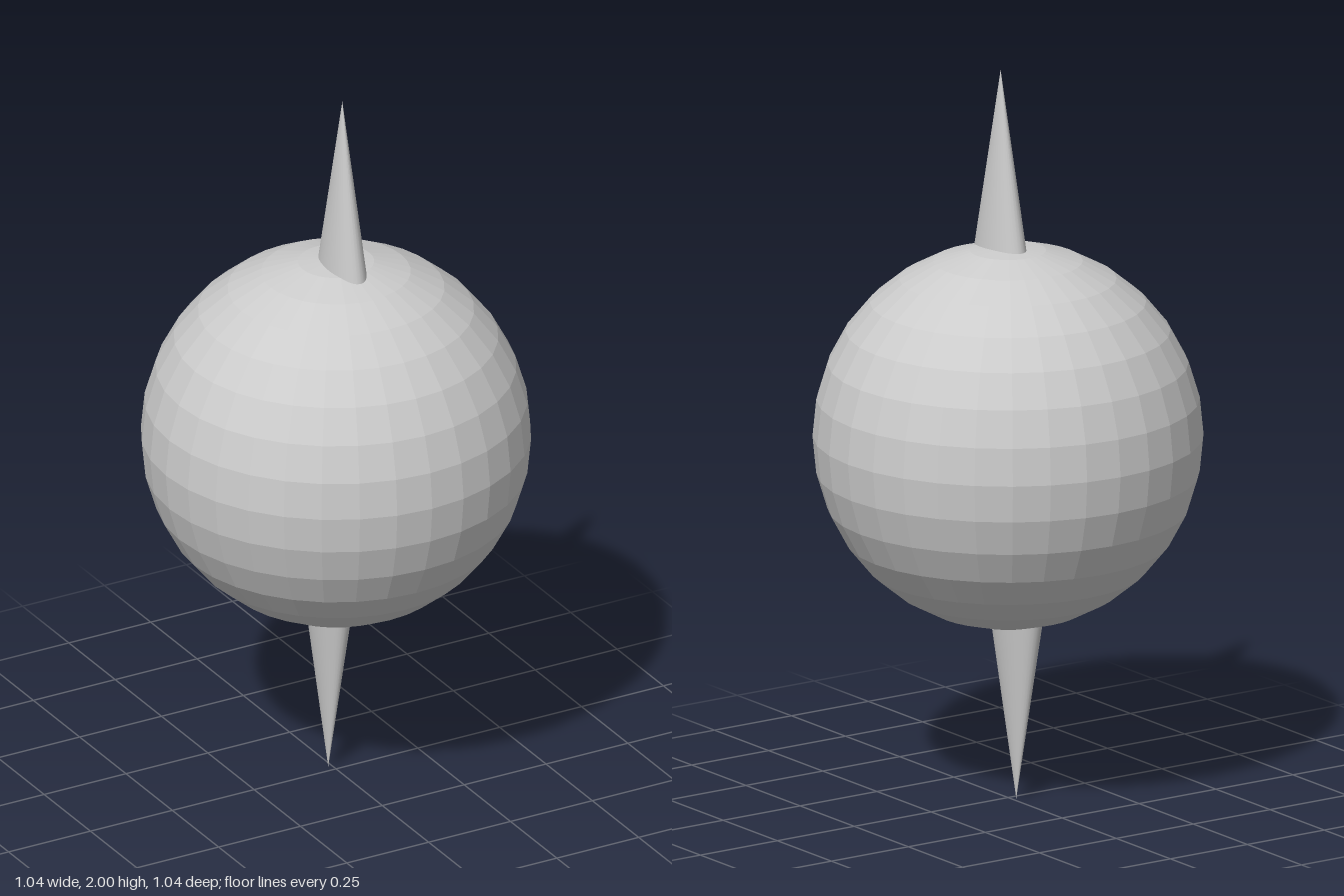
import * as THREE from 'three';

const grey = (flat) => new THREE.MeshStandardMaterial({ color: 0xcccccc, flatShading: flat });

// Flattened cone whose base is hidden inside the ball; dir is 1 (up) or -1 (down)
function makeSpike(name, dir, x, z) {
  const height = 0.55;
  const geo = new THREE.ConeGeometry(0.11, height, 32);
  geo.scale(0.5, 1, 1);
  const spike = new THREE.Mesh(geo, grey(false));
  spike.name = name;
  if (dir < 0) spike.rotation.x = Math.PI;
  spike.position.set(x, 1 + dir * (1 - height / 2), z);
  return spike;
}

export function createModel() {
  const model = new THREE.Group();
  model.name = 'spikedBall';

  // Faceted ball
  const ball = new THREE.Mesh(new THREE.SphereGeometry(0.52, 32, 16), grey(true));
  ball.name = 'ball';
  ball.position.y = 1;
  model.add(ball);

  // Spikes above and below, slightly off centre
  model.add(makeSpike('topSpike', 1, 0, 0.034));
  model.add(makeSpike('bottomSpike', -1, -0.012, -0.021));
  return model;
}
